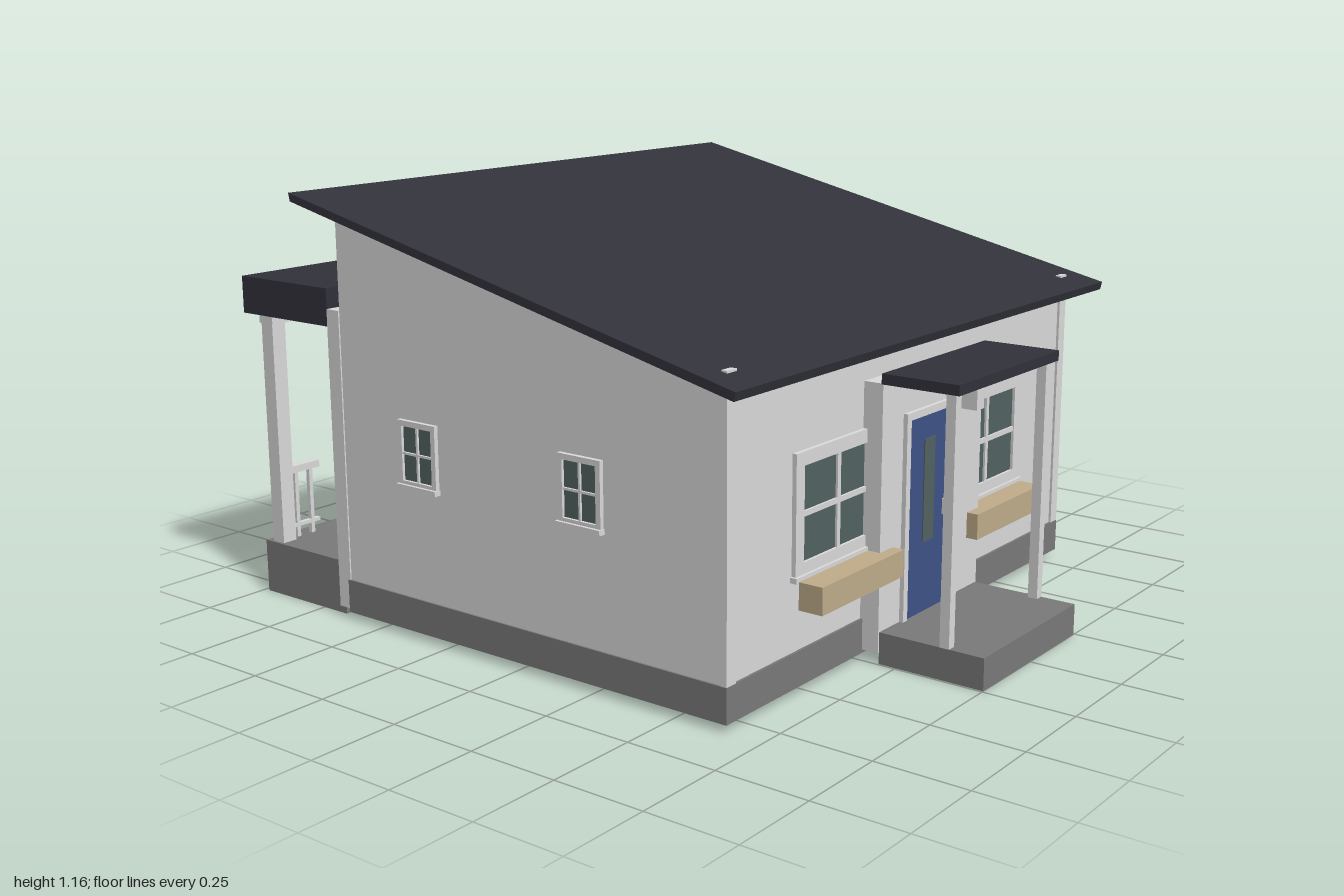
import * as THREE from 'three';

const mat = (name, color) => {
  const m = new THREE.MeshStandardMaterial({ color });
  m.name = name;
  return m;
};

export function createModel() {
  const house = new THREE.Group();
  house.name = 'house';
  const white = mat('wallWhite', 0xdcdcdc);
  const stone = mat('foundationGrey', 0x7b7b7b);
  const slate = mat('roofSlate', 0x32323c);
  const blue = mat('doorBlue', 0x3f5388);
  const glass = mat('windowGlass', 0x526362);
  const wood = mat('planterWood', 0xc2ae8b);

  // Box given by its limits on each axis
  const box = (name, m, x0, x1, y0, y1, z0, z1, parent = house) => {
    const mesh = new THREE.Mesh(new THREE.BoxGeometry(x1 - x0, y1 - y0, z1 - z0), m);
    mesh.position.set((x0 + x1) / 2, (y0 + y1) / 2, (z0 + z1) / 2);
    mesh.name = name;
    parent.add(mesh);
    return mesh;
  };

  // Side profile of [z, y] points, extruded from x0 to x1
  const prism = (name, m, points, x0, x1) => {
    const shape = new THREE.Shape(points.map(([z, y]) => new THREE.Vector2(-z, y)));
    const geo = new THREE.ExtrudeGeometry(shape, { depth: x1 - x0, bevelEnabled: false });
    geo.rotateY(Math.PI / 2).translate(x0, 0, 0);
    const mesh = new THREE.Mesh(geo, m);
    mesh.name = name;
    house.add(mesh);
  };

  // Four upright walls around a rectangle, open below
  const ring = (name, m, x0, x1, y0, y1, z0, z1, t) => {
    box(name, m, x0, x1, y0, y1, z1 - t, z1);
    box(name, m, x0, x1, y0, y1, z0, z0 + t);
    box(name, m, x0, x0 + t, y0, y1, z0 + t, z1 - t);
    box(name, m, x1 - t, x1, y0, y1, z0 + t, z1 - t);
  };

  const placed = (name, x, y, z, turn) => {
    const g = new THREE.Group();
    g.name = name;
    g.position.set(x, y, z);
    g.rotation.y = turn;
    house.add(g);
    return g;
  };

  // Window facing +z before turning; w and h are the glass size
  const addWindow = (name, x, y, z, turn, w, h, cols, trim) => {
    const g = placed(name, x, y, z, turn);
    const a = w / 2, b = h / 2, bar = trim * 0.2;
    box('pane', glass, -a, a, -b, b, -0.024, 0.004, g);
    for (const s of [-1, 1]) {
      const sx = s * (a + trim / 2), sy = s * (b + trim / 2);
      box('frameSide', white, sx - trim / 2, sx + trim / 2, -b - trim, b + trim, 0, 0.012, g);
      box('frameRail', white, -a, a, sy - trim / 2, sy + trim / 2, 0, 0.012, g);
    }
    for (let i = 1; i < cols; i++) {
      const c = -a + (w * i) / cols;
      box('mullion', white, c - bar, c + bar, -b, b, 0.004, 0.01, g);
    }
    box('crossBar', white, -a, a, -bar, bar, 0.004, 0.01, g);
    box('sill', white, -a - trim * 1.2, a + trim * 1.2, -b - trim - 0.008, -b - trim + 0.006, 0, 0.02, g);
  };

  // Door standing on its own origin, facing +z before turning
  const addDoor = (name, x, y, z, turn, h) => {
    const g = placed(name, x, y, z, turn);
    box('doorPanel', blue, -0.1, 0.1, 0, h, 0, 0.006, g);
    box('doorGlass', glass, -0.026, 0.026, h * 0.36, h * 0.88, 0.006, 0.009, g);
    for (const s of [-1, 1])
      box('doorFrame', white, s * 0.11 - 0.01, s * 0.11 + 0.01, 0, h + 0.02, 0, 0.012, g);
    box('doorHead', white, -0.1, 0.1, h, h + 0.02, 0, 0.012, g);
    box('handle', white, 0.073, 0.085, h * 0.46, h * 0.54, 0.006, 0.02, g);
  };

  // Foundation and wall shell
  ring('foundation', stone, -0.827, 0.827, 0.02, 0.112, -0.622, 0.652, 0.03);
  box('frontWall', white, -0.82, 0.82, 0.112, 0.826, 0.625, 0.645);
  box('backWall', white, -0.82, 0.82, 0.112, 1.117, -0.615, -0.595);
  const side = [[0.645, 0.112], [0.645, 0.827], [-0.615, 1.118], [-0.615, 0.112]];
  prism('leftWall', white, side, 0.8, 0.822);
  prism('rightWall', white, side, -0.822, -0.8);

  // Single-slope main roof
  prism('mainRoof', slate, [[0.725, 0.81], [0.73, 0.832], [-0.7, 1.16], [-0.695, 1.138]], -0.9, 0.9);

  // Corner boards, the front pair just piercing the roof
  for (const s of [-1, 1]) {
    const c = s * 0.808;
    box('frontCornerBoard', white, c - 0.018, c + 0.018, 0.112, 0.856, 0.635, 0.652);
    box('backCornerBoard', white, c - 0.018, c + 0.018, 0.03, 0.85, -0.66, -0.615);
  }

  // Front entry bay, door, lamp and porch
  box('frontEntryBay', white, -0.25, 0.25, 0.03, 0.73, 0.645, 0.7);
  addDoor('frontDoor', -0.03, 0.085, 0.7, 0, 0.53);
  box('wallLamp', white, 0.135, 0.175, 0.595, 0.65, 0.7, 0.75);
  ring('frontPorchBase', stone, -0.245, 0.245, 0, 0.07, 0.7, 1, 0.012);
  box('frontPorchFloor', stone, -0.245, 0.245, 0.07, 0.085, 0.7, 1);
  box('frontPorchRoof', slate, -0.258, 0.258, 0.73, 0.757, 0.7, 0.917);
  for (const s of [-1, 1])
    box('frontPorchPost', white, s * 0.233 - 0.013, s * 0.233 + 0.013, 0.085, 0.73, 0.875, 0.902);

  // Front windows with planters
  for (const s of [-1, 1]) {
    addWindow('frontWindow', s * 0.371, 0.455, 0.645, 0, 0.305, 0.24, 2, 0.035);
    box('frontPlanter', wood, s * 0.373 - 0.183, s * 0.373 + 0.183, 0.225, 0.296, 0.665, 0.733);
  }

  // Side windows
  for (const s of [-1, 1])
    for (const z of [0.217, -0.333])
      addWindow('sideWindow', s * 0.822, 0.505, z, (s * Math.PI) / 2, 0.105, 0.145, 2, 0.015);

  // Back window with planter
  addWindow('backWindow', 0.285, 0.455, -0.615, Math.PI, 0.47, 0.27, 3, 0.03);
  box('backPlanter', wood, 0.02, 0.55, 0.2, 0.268, -0.703, -0.635);

  // Back entry bay with door and window
  box('backEntryBay', white, -0.8, -0.19, 0.03, 0.85, -0.66, -0.615);
  addDoor('backDoor', -0.355, 0.15, -0.66, Math.PI, 0.53);
  addWindow('backPorchWindow', -0.63, 0.47, -0.66, Math.PI, 0.22, 0.26, 2, 0.025);

  // Back porch
  ring('backPorchBase', stone, -0.805, -0.185, 0, 0.135, -0.985, -0.66, 0.012);
  box('backPorchFloor', stone, -0.805, -0.185, 0.135, 0.15, -0.985, -0.66);
  box('backPorchRoof', slate, -0.825, -0.168, 0.803, 0.905, -1, -0.66);
  box('backPorchCeiling', white, -0.8, -0.19, 0.798, 0.803, -0.97, -0.66);
  box('backPorchBeam', white, -0.8, -0.19, 0.775, 0.8, -0.967, -0.914);
  for (const x of [-0.775, -0.215])
    box('backPorchPost', white, x - 0.022, x + 0.022, 0.15, 0.775, -0.963, -0.919);

  // Rear railings either side of the porch opening
  for (const [x0, x1] of [[-0.4, -0.237], [-0.753, -0.65]]) {
    box('topRail', white, x0, x1, 0.34, 0.36, -0.955, -0.927);
    box('bottomRail', white, x0, x1, 0.18, 0.19, -0.948, -0.934);
    const n = Math.round((x1 - x0) / 0.045);
    for (let i = 0; i < n; i++) {
      const x = x0 + ((i + 0.5) * (x1 - x0)) / n;
      box('baluster', white, x - 0.006, x + 0.006, 0.15, 0.34, -0.947, -0.935);
    }
  }
  return house;
}
